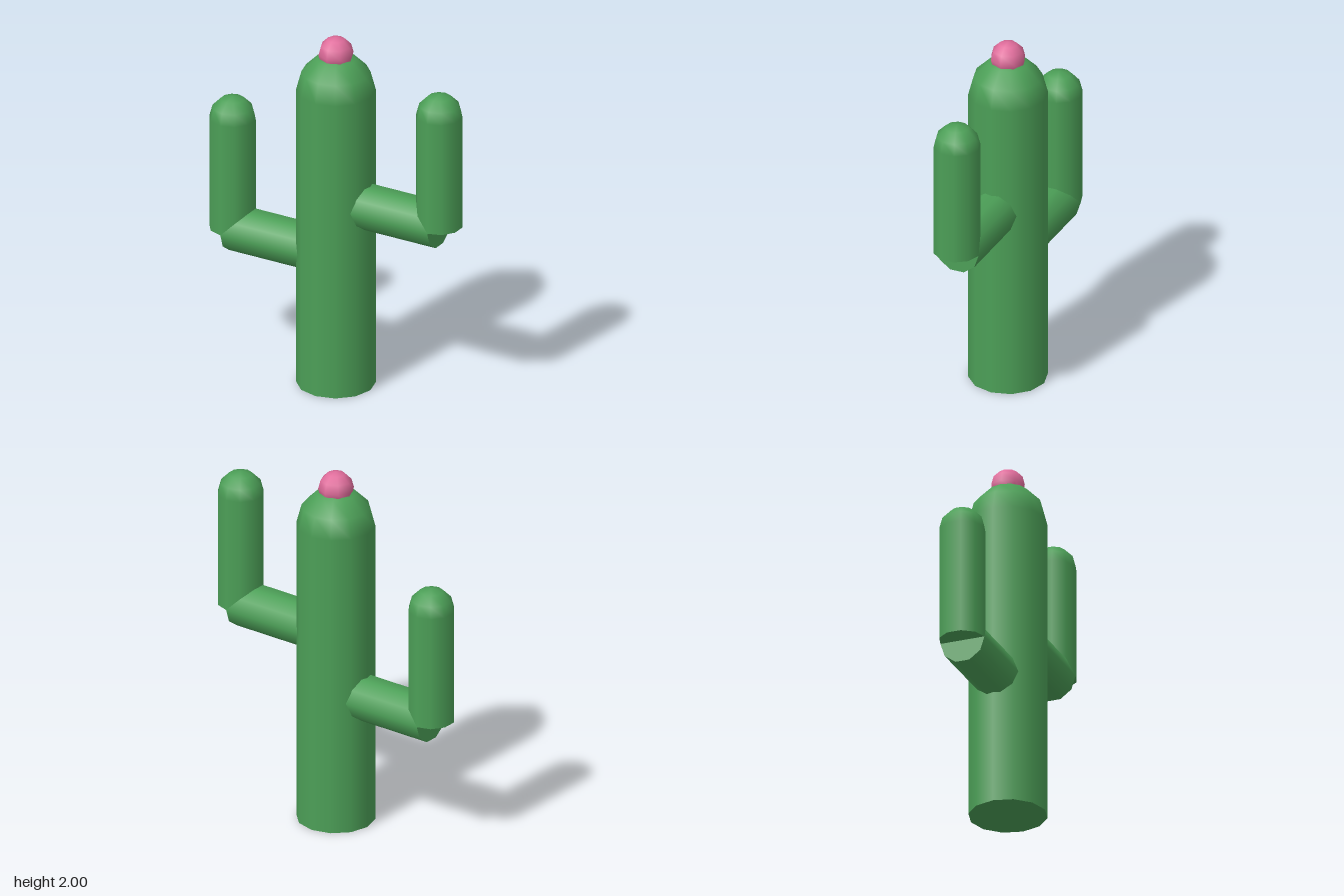
import * as THREE from 'three';

const green = new THREE.MeshStandardMaterial({ color: 0x4c9f57 });
green.name = 'cactus green';
const pink = new THREE.MeshStandardMaterial({ color: 0xdf6c9b });
pink.name = 'flower pink';

function add(parent, name, geometry, material, x, y) {
  const mesh = new THREE.Mesh(geometry, material);
  mesh.name = name;
  mesh.position.set(x, y, 0);
  parent.add(mesh);
  return mesh;
}

// Upright column with a domed top whose corners line up with the column's
function addColumn(parent, name, radius, sides, x, bottom, top) {
  const height = top - bottom;
  add(parent, name, new THREE.CylinderGeometry(radius, radius, height, sides), green, x, bottom + height / 2);
  const dome = new THREE.SphereGeometry(radius, sides, 3, Math.PI / 2, Math.PI * 2, 0, Math.PI / 2);
  add(parent, name + 'Dome', dome, green, x, top);
}

// Arm: a level branch out of the trunk, then an upright column
function createArm(name, side, y) {
  const arm = new THREE.Group();
  arm.name = name;
  const reach = 0.633, radius = 0.125;
  const branch = new THREE.CylinderGeometry(radius, radius, reach, 10).rotateZ(Math.PI / 2);
  add(arm, 'branch', branch, green, side * reach / 2, y);
  addColumn(arm, 'upright', radius, 10, side * reach, y, y + 0.635);
  return arm;
}

export function createModel() {
  const model = new THREE.Group();
  model.name = 'cactus';
  addColumn(model, 'trunk', 0.21, 12, 0, 0, 1.695);
  model.add(createArm('leftArm', 1, 1.062), createArm('rightArm', -1, 0.745));
  // Flower bud on the crown
  add(model, 'flower', new THREE.SphereGeometry(0.095, 8, 6), pink, 0, 1.905);
  return model;
}
